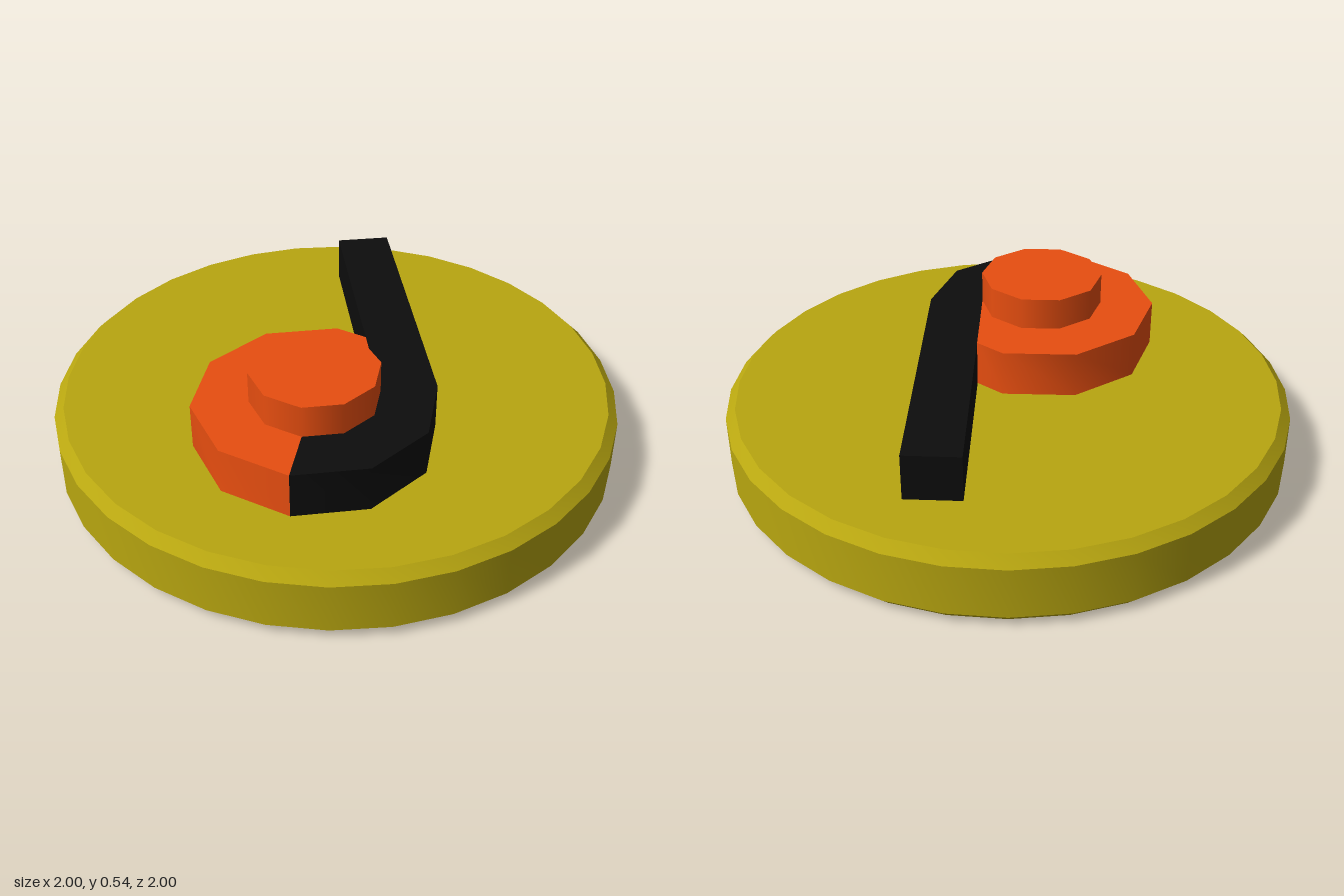
import * as THREE from 'three';
import { toCreasedNormals } from 'three/addons/utils/BufferGeometryUtils.js';

const CX = 0.183, CZ = 0.272; // hub axis
const DISC_TOP = 0.255, ARM_TOP = 0.42, KNOB_TOP = 0.535;

// Corner k of a ten-sided ring around the hub; corner 0 points to +z
const corner = (r, k) => {
  const a = (k * Math.PI) / 5;
  return new THREE.Vector2(CX + r * Math.sin(a), CZ + r * Math.cos(a));
};
const corners = (r, from, to) => {
  const out = [];
  const step = Math.sign(to - from);
  for (let k = from; k !== to + step; k += step) out.push(corner(r, k));
  return out;
};

// Plan outline (x, z) raised between two heights
function slab(points, y0, y1) {
  const g = new THREE.ExtrudeGeometry(new THREE.Shape(points), { depth: y1 - y0, bevelEnabled: false });
  g.rotateX(Math.PI / 2).translate(0, y1, 0);
  return toCreasedNormals(g, 0.7);
}

export function createModel() {
  const group = new THREE.Group();
  const add = (name, geometry, color) => {
    const mesh = new THREE.Mesh(geometry, new THREE.MeshStandardMaterial({ color }));
    mesh.name = name;
    group.add(mesh);
    return mesh;
  };
  const yellow = 0xb8a610, orange = 0xe84e10, black = 0x0d0d0d;

  // Round base with chamfered rims
  const profile = [[0, 0], [0.965, 0], [1, 0.037], [1, 0.22], [0.965, DISC_TOP], [0, DISC_TOP]]
    .map(([r, y]) => new THREE.Vector2(r, y));
  add('baseDisc', toCreasedNormals(new THREE.LatheGeometry(profile, 32), 0.5), yellow);

  const R = 0.413, r = 0.22;

  // Straight arm that wraps around one side of the hub
  add('hookArm', slab([
    new THREE.Vector2(-0.515, -0.51),
    ...corners(r, 4, 1),
    ...corners(R, 1, 4),
    new THREE.Vector2(-0.4, -0.665),
  ], DISC_TOP, ARM_TOP), black);

  // Ten-sided hub, cut away where the arm passes
  add('hub', slab([
    ...corners(r, 4, 1),
    ...corners(R, 1, -4),
    new THREE.Vector2(0.055, -0.098),
  ], DISC_TOP, ARM_TOP), orange);

  // Raised knob on the hub
  const knob = add('knob', new THREE.CylinderGeometry(r, r, KNOB_TOP - ARM_TOP, 10), orange);
  knob.position.set(CX, (KNOB_TOP + ARM_TOP) / 2, CZ);

  return group;
}
